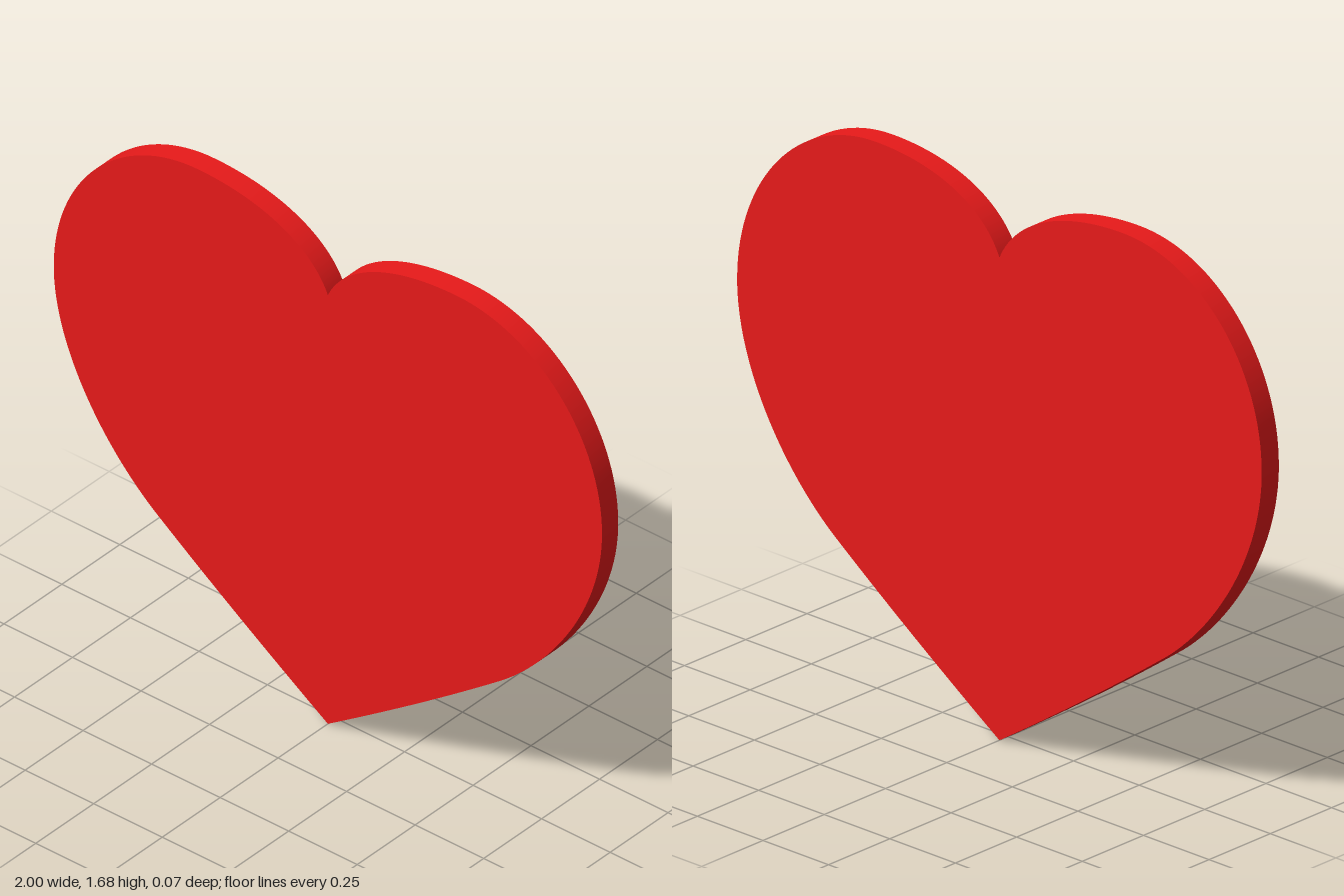
import * as THREE from 'three';
import { toCreasedNormals } from 'three/addons/utils/BufferGeometryUtils.js';

const THICKNESS = 0.07;

// Heart outline: right half from tip to notch, then its mirror back to the tip
function heartShape() {
  const s = new THREE.Shape();
  s.moveTo(0, 0);
  s.quadraticCurveTo(0.36, 0.235, 0.64, 0.443);
  s.bezierCurveTo(0.84, 0.6, 1, 0.86, 1, 1.106);
  s.bezierCurveTo(1, 1.421, 0.763, 1.677, 0.47, 1.677);
  s.bezierCurveTo(0.24, 1.677, 0.06, 1.6, 0, 1.464);
  s.bezierCurveTo(-0.06, 1.6, -0.24, 1.677, -0.47, 1.677);
  s.bezierCurveTo(-0.763, 1.677, -1, 1.421, -1, 1.106);
  s.bezierCurveTo(-1, 0.86, -0.84, 0.6, -0.64, 0.443);
  s.quadraticCurveTo(-0.36, 0.235, 0, 0);
  return s;
}

export function createModel() {
  const group = new THREE.Group();
  group.name = 'heart';

  // Flat plate with a smooth rim and sharp front and back edges
  const plate = new THREE.ExtrudeGeometry(heartShape(), {
    depth: THICKNESS, bevelEnabled: false, curveSegments: 32,
  });
  plate.translate(0, 0, -THICKNESS / 2);

  const mesh = new THREE.Mesh(
    toCreasedNormals(plate, Math.PI / 6),
    new THREE.MeshStandardMaterial({ color: 0xe81a1a }),
  );
  mesh.name = 'heartPlate';
  group.add(mesh);
  return group;
}
